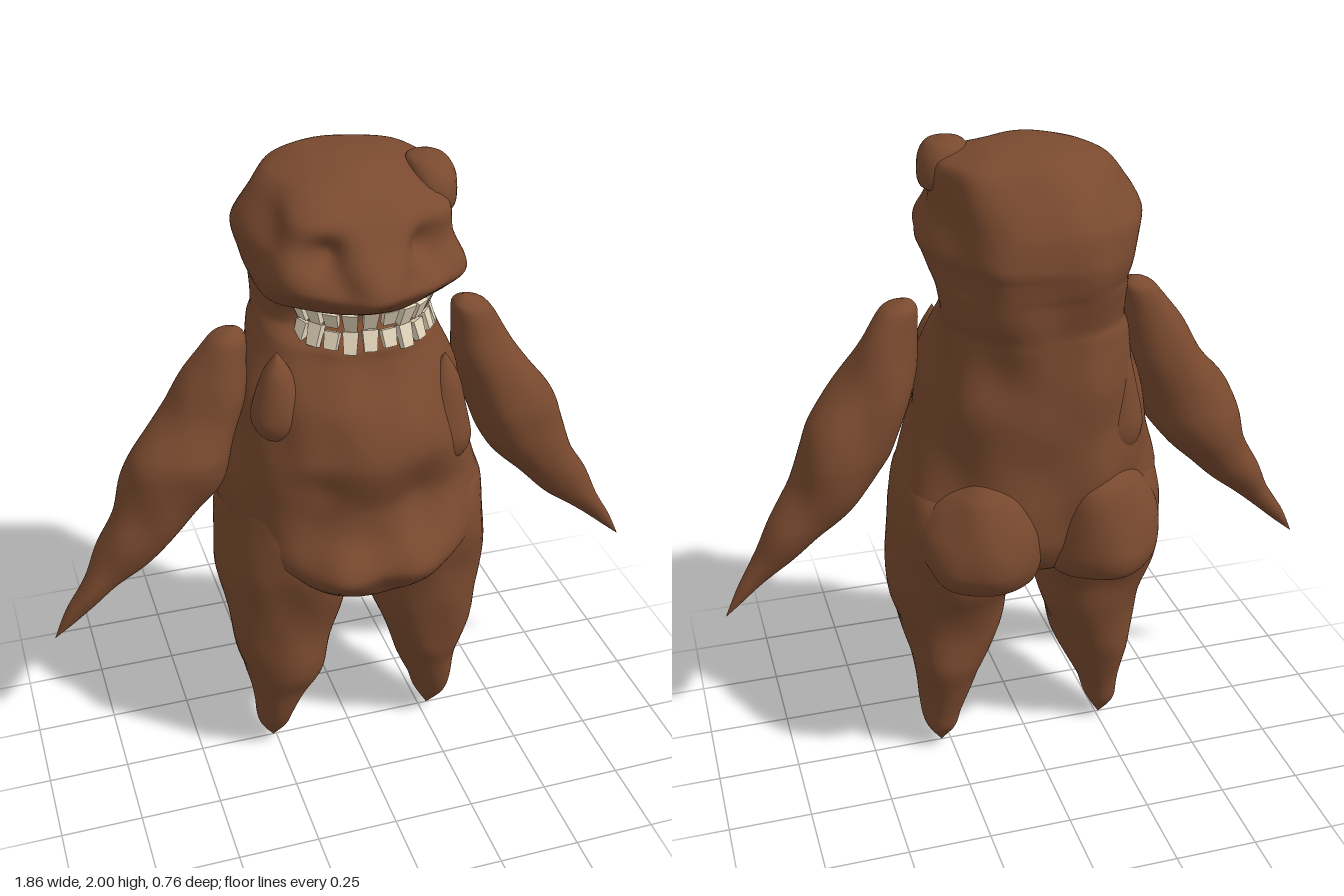
import * as THREE from 'three';

const hide = new THREE.MeshStandardMaterial({ color: 0x7a4a2f });
hide.name = 'brown hide';
const ivory = new THREE.MeshStandardMaterial({ color: 0xe4d6bc });
ivory.name = 'ivory teeth';

// Uneven lumps and upright folds that run through the skin
const wobble = (x, y, z) =>
  Math.sin(9 * x + 13 * y + 2) * Math.sin(11 * z - 7 * y) + 0.6 * Math.sin(21 * x - 9 * y + 17 * z)
  + 0.5 * Math.sin(34 * x + 5 * y + 1) * Math.sin(8 * y + 20 * z);

// Smooth loft through level sections, top to bottom: [y, xMin, xMax, zMin, zMax].
// Bumps [x, y, z, radius, amount] push the skin out or in.
function loft(name, sections, { power = 2.2, bumps = [], rough = 0.009, rings = 60, sides = 56 } = {}) {
  const low = new THREE.CatmullRomCurve3(sections.map(([y, x0, , z0]) => new THREE.Vector3(x0, y, z0)), false, 'catmullrom', 0.4);
  const high = new THREE.CatmullRomCurve3(sections.map(([y, , x1, , z1]) => new THREE.Vector3(x1, y, z1)), false, 'catmullrom', 0.4);
  const positions = [], index = [];
  const bend = (v) => Math.sign(v) * Math.abs(v) ** (2 / power);
  for (let i = 0; i <= rings; i++) {
    const a = low.getPoint(i / rings), b = high.getPoint(i / rings);
    const rx = (b.x - a.x) / 2, rz = (b.z - a.z) / 2;
    const fade = Math.min(1, Math.max(0, Math.min(rx, rz)) / 0.1);
    for (let j = 0; j < sides; j++) {
      const t = (j / sides) * Math.PI * 2, c = Math.cos(t), s = Math.sin(t);
      const x = (a.x + b.x) / 2 + rx * bend(c), z = (a.z + b.z) / 2 + rz * bend(s);
      let push = rough * wobble(x, a.y, z);
      for (const [bx, by, bz, r, amount] of bumps) {
        push += amount * Math.exp(-((x - bx) ** 2 + (a.y - by) ** 2 + (z - bz) ** 2) / (r * r));
      }
      positions.push(x + c * push * fade, a.y, z + s * push * fade);
      const n = (j + 1) % sides, p = i * sides;
      if (i < rings) index.push(p + j, p + n, p + sides + j, p + n, p + sides + n, p + sides + j);
    }
  }
  const geometry = new THREE.BufferGeometry();
  geometry.setAttribute('position', new THREE.Float32BufferAttribute(positions, 3));
  geometry.setIndex(index);
  geometry.computeVertexNormals();
  const mesh = new THREE.Mesh(geometry, hide);
  mesh.name = name;
  return mesh;
}

const mirror = (sections, shift = 0) => sections.map(([y, x0, x1, z0, z1]) => [y, shift - x1, shift - x0, z0, z1]);

// Curved row of tapered teeth; dir is +1 for teeth pointing up, -1 for down
function teeth(name, y, dir, count) {
  const row = new THREE.Group();
  row.name = name;
  for (let i = 0; i < count; i++) {
    const a = -1.2 + (2.4 * i) / (count - 1);
    const h = 0.058 + 0.008 * Math.sin(i * 2.3);
    const geometry = new THREE.CylinderGeometry(0.031, 0.025, h, 4, 1).rotateY(Math.PI / 4).scale(1, 1, 0.5);
    const tooth = new THREE.Mesh(geometry.toNonIndexed(), ivory);
    tooth.geometry.computeVertexNormals();
    tooth.name = 'tooth';
    tooth.position.set(0.02 + 0.2 * Math.sin(a), y + 0.005 * Math.sin(i * 1.7), 0.035 + 0.19 * Math.cos(a));
    tooth.rotation.set(-0.35 * dir, a, 0.1 * Math.sin(i * 3.1), 'YXZ');
    row.add(tooth);
  }
  return row;
}

export function createModel() {
  const model = new THREE.Group();
  model.name = 'creature';

  // Head, open mouth and torso in one skin, drooping to a pointed belly
  model.add(loft('headAndTorso', [
    [1.995, 0.01, 0.01, -0.05, -0.05],
    [1.98, -0.13, 0.13, -0.18, 0.06],
    [1.945, -0.21, 0.24, -0.25, 0.14],
    [1.88, -0.25, 0.26, -0.31, 0.23],
    [1.8, -0.3, 0.27, -0.365, 0.3],
    [1.72, -0.29, 0.3, -0.385, 0.345],
    [1.68, -0.28, 0.29, -0.38, 0.31],
    [1.64, -0.265, 0.28, -0.37, 0.25],
    [1.61, -0.255, 0.27, -0.36, 0.14],
    [1.55, -0.25, 0.265, -0.35, 0.13],
    [1.51, -0.26, 0.27, -0.345, 0.21],
    [1.47, -0.28, 0.28, -0.345, 0.23],
    [1.35, -0.32, 0.31, -0.34, 0.29],
    [1.2, -0.35, 0.34, -0.33, 0.33],
    [1.05, -0.38, 0.38, -0.315, 0.305],
    [0.95, -0.385, 0.4, -0.31, 0.32],
    [0.84, -0.34, 0.36, -0.3, 0.355],
    [0.75, -0.23, 0.26, -0.24, 0.31],
    [0.69, -0.13, 0.17, -0.15, 0.22],
    [0.645, -0.05, 0.08, -0.04, 0.12],
    [0.635, 0.01, 0.01, 0.04, 0.04],
  ], {
    rings: 140, sides: 96, rough: 0.01,
    bumps: [
      [0.2, 1.9, 0.17, 0.07, 0.04], [-0.17, 1.91, 0.18, 0.09, 0.04], // brows
      [0.15, 1.82, 0.27, 0.06, -0.06], [-0.15, 1.81, 0.27, 0.06, -0.06], // eye sockets
      [0.0, 1.76, 0.33, 0.07, 0.02], [0.1, 1.74, 0.33, 0.045, -0.025], [-0.1, 1.74, 0.33, 0.045, -0.025], // snout
      [0.23, 1.75, 0.2, 0.07, 0.025], [-0.23, 1.75, 0.2, 0.07, 0.02], // cheeks
      [0.0, 1.2, 0.33, 0.13, 0.025], [-0.16, 1.12, 0.28, 0.06, -0.025], // chest
      [0.12, 1.02, 0.3, 0.1, -0.02], [-0.14, 1.0, 0.3, 0.08, -0.02], // belly folds
      [-0.1, 0.86, 0.34, 0.08, 0.025], [0.12, 0.84, 0.33, 0.08, 0.025], [0.02, 0.76, 0.32, 0.05, -0.02],
      [0.02, 1.3, -0.34, 0.1, -0.02], [0.17, 1.3, -0.3, 0.09, 0.02], [-0.15, 1.3, -0.3, 0.09, 0.015], // back folds
    ],
  }));

  // Raised lump above one eye
  model.add(loft('browLump', [
    [1.99, 0.21, 0.21, 0.03, 0.03],
    [1.975, 0.16, 0.26, -0.03, 0.1],
    [1.93, 0.15, 0.285, -0.06, 0.15],
    [1.86, 0.15, 0.285, -0.06, 0.15],
    [1.81, 0.2, 0.2, 0.05, 0.05],
  ], { rings: 20, sides: 24 }));

  // Teardrop folds of skin on the chest and back
  const fold = (name, x, y, z, w, h) => model.add(loft(name, [
    [y + h, x, x, z, z],
    [y + 0.5 * h, x - 0.55 * w, x + 0.55 * w, z - 0.05, z + 0.05],
    [y - 0.4 * h, x - w, x + w, z - 0.075, z + 0.075],
    [y - 0.8 * h, x - 0.75 * w, x + 0.75 * w, z - 0.055, z + 0.055],
    [y - h, x, x, z, z],
  ], { rings: 28, sides: 28, rough: 0.005 }));
  fold('leftChestFold', 0.23, 1.27, 0.18, 0.085, 0.18);
  fold('rightChestFold', -0.25, 1.37, 0.15, 0.075, 0.14);
  fold('backFold', -0.21, 1.28, -0.21, 0.08, 0.2);

  // Hanging buttocks
  const buttock = [
    [1.12, 0.17, 0.17, -0.22, -0.22],
    [1.02, 0.05, 0.3, -0.32, -0.05],
    [0.9, 0.01, 0.36, -0.36, 0.0],
    [0.8, 0.015, 0.36, -0.37, 0.0],
    [0.73, 0.05, 0.32, -0.33, -0.02],
    [0.68, 0.18, 0.18, -0.18, -0.18],
  ];
  model.add(loft('leftButtock', buttock), loft('rightButtock', mirror(buttock, 0.01)));

  // Tapering arms ending in points
  const arm = [
    [1.54, 0.34, 0.34, 0.02, 0.02],
    [1.51, 0.305, 0.41, -0.04, 0.08],
    [1.42, 0.31, 0.475, -0.065, 0.1],
    [1.3, 0.33, 0.55, -0.085, 0.13],
    [1.18, 0.36, 0.635, -0.105, 0.16],
    [1.08, 0.4, 0.68, -0.115, 0.15],
    [0.98, 0.48, 0.715, -0.105, 0.13],
    [0.88, 0.57, 0.77, -0.08, 0.11],
    [0.78, 0.69, 0.82, -0.04, 0.09],
    [0.68, 0.81, 0.88, -0.01, 0.055],
    [0.58, 0.928, 0.928, 0.02, 0.02],
  ];
  model.add(loft('leftArm', arm), loft('rightArm', mirror(arm)));

  // Hips and thick thighs narrowing to pointed feet
  const leg = [
    [1.1, 0.25, 0.25, 0.0, 0.0],
    [1.02, 0.12, 0.38, -0.2, 0.2],
    [0.92, 0.06, 0.41, -0.26, 0.25],
    [0.8, 0.03, 0.425, -0.27, 0.25],
    [0.7, 0.04, 0.43, -0.24, 0.23],
    [0.6, 0.06, 0.425, -0.19, 0.21],
    [0.5, 0.08, 0.405, -0.165, 0.19],
    [0.36, 0.13, 0.37, -0.145, 0.175],
    [0.27, 0.165, 0.36, -0.115, 0.14],
    [0.15, 0.215, 0.343, -0.085, 0.1],
    [0.08, 0.235, 0.33, -0.065, 0.065],
    [0.0, 0.28, 0.28, 0.0, 0.0],
  ];
  model.add(loft('leftLeg', leg), loft('rightLeg', mirror(leg, 0.02)));

  // Two rows of crooked teeth
  model.add(teeth('upperTeeth', 1.605, -1, 10), teeth('lowerTeeth', 1.54, 1, 10));
  return model;
}
